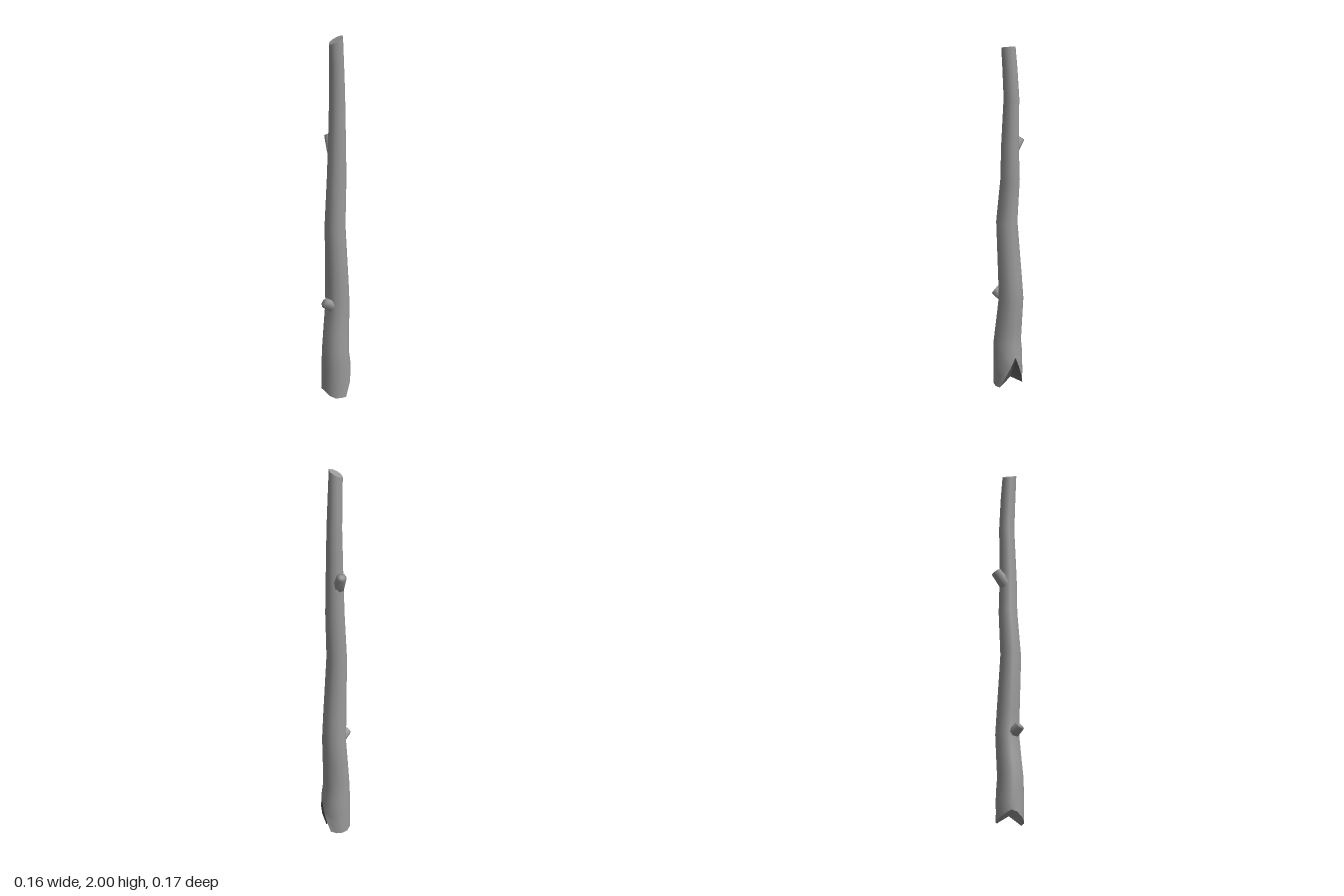
import * as THREE from 'three';
import { mergeVertices, toCreasedNormals } from 'three/addons/utils/BufferGeometryUtils.js';

const SIDES = 12;
const SPLIT_TOP = 0.18;

// Trunk outline by height: y, min x, max x, min z, max z
const RINGS = [
  [0, -0.072, 0.078, -0.064, 0.086],
  [0.07, -0.073, 0.08, -0.064, 0.086],
  [0.12, -0.073, 0.08, -0.063, 0.086],
  [SPLIT_TOP, -0.072, 0.08, -0.062, 0.086],
  [0.25, -0.07, 0.07, -0.058, 0.084],
  [0.36, -0.06, 0.074, -0.061, 0.075],
  [0.5, -0.047, 0.08, -0.064, 0.065],
  [0.62, -0.05, 0.074, -0.058, 0.065],
  [0.95, -0.057, 0.052, -0.041, 0.07],
  [1.2, -0.041, 0.063, -0.047, 0.053],
  [1.4, -0.035, 0.06, -0.041, 0.05],
  [1.68, -0.026, 0.058, -0.043, 0.038],
  [1.85, -0.03, 0.05, -0.036, 0.042],
  [2, -0.033, 0.042, -0.028, 0.046],
];

function trunkPoint([h, x0, x1, z0, z1], row, i) {
  // Columns 1 and 11 follow the two lips of the split, column 0 its valley
  const open = 1 - h / SPLIT_TOP;
  const front = open > 0 ? 1.15 * open : Math.PI / 6;
  const back = open > 0 ? 0.9 * open : Math.PI / 6;
  const a = i === 0 ? 0 : front + ((i - 1) / (SIDES - 2)) * (Math.PI * 2 - front - back);
  let x = (x0 + x1) / 2 + ((x1 - x0) / 2) * Math.cos(a);
  const z = (z0 + z1) / 2 + ((z1 - z0) / 2) * Math.sin(a);
  let y = h;
  // Chopped base, raised along the middle
  if (row === 0) y = 0.045 * Math.max(0, 1 - Math.abs(z - 0.011) / 0.07);
  // Slanted break at the top
  if (row === RINGS.length - 1) y = Math.min(2, 1.98 + 0.5 * (x - 0.005) + 0.2 * (z - 0.01));
  if (i === 0 && open > 0) x = 0.025 + 0.05 * (y - 0.04) / 0.14;
  return [x, y, z];
}

// Geometries of the outer trunk and of the faces inside the split
function trunkGeometries() {
  const position = [];
  const bark = [];
  const split = [];
  RINGS.forEach((ring, row) => {
    for (let i = 0; i < SIDES; i++) position.push(...trunkPoint(ring, row, i));
  });
  const last = (RINGS.length - 1) * SIDES;
  const bottom = RINGS.length * SIDES;
  position.push(0, 0.043, 0.011, 0.004, 1.978, 0.01);
  for (let i = 0; i < SIDES; i++) {
    const n = (i + 1) % SIDES;
    for (let row = 0; row < RINGS.length - 1; row++) {
      const r = row * SIDES;
      const [a, b, c, d] = [r + i, r + SIDES + i, r + SIDES + n, r + n];
      const inSplit = i === 0 || n === 0;
      const lower = inSplit && row < 3 ? split : bark;
      const upper = inSplit && row < 2 ? split : bark;
      // The diagonals beside the valley meet at the tip of the split
      if (i === 0) {
        lower.push(a, b, d);
        upper.push(b, c, d);
      } else {
        lower.push(a, c, d);
        upper.push(a, b, c);
      }
    }
    bark.push(bottom, i, n, bottom + 1, last + n, last + i);
  }
  return [bark, split].map((index) => {
    const g = new THREE.BufferGeometry();
    g.setAttribute('position', new THREE.Float32BufferAttribute(position, 3));
    g.setIndex(index);
    return toCreasedNormals(g, 0.8);
  });
}

// Short worn branch running from inside the trunk to its softly shaded end
function stub(name, from, to, baseRadius, endRadius, material) {
  const a = new THREE.Vector3(...from);
  const b = new THREE.Vector3(...to);
  const axis = b.clone().sub(a);
  const cylinder = new THREE.CylinderGeometry(endRadius, baseRadius, axis.length(), 8);
  cylinder.deleteAttribute('normal');
  cylinder.deleteAttribute('uv');
  const geometry = mergeVertices(cylinder);
  geometry.computeVertexNormals();
  const mesh = new THREE.Mesh(geometry, material);
  mesh.name = name;
  mesh.position.copy(a).add(b).multiplyScalar(0.5);
  mesh.quaternion.setFromUnitVectors(new THREE.Vector3(0, 1, 0), axis.normalize());
  return mesh;
}

export function createModel() {
  const group = new THREE.Group();
  group.name = 'woodenPole';
  const wood = new THREE.MeshStandardMaterial({ color: 0x9a9a9a });
  const darkWood = new THREE.MeshStandardMaterial({ color: 0x5c5c5c });

  const [barkGeometry, splitGeometry] = trunkGeometries();
  const trunk = new THREE.Mesh(barkGeometry, wood);
  trunk.name = 'trunk';
  const split = new THREE.Mesh(splitGeometry, darkWood);
  split.name = 'baseSplit';
  group.add(trunk, split);

  group.add(stub('lowerBranchStub', [-0.01, 0.488, 0.012], [-0.066, 0.526, 0.047], 0.032, 0.028, wood));
  group.add(stub('upperBranchStub', [-0.002, 1.35, -0.008], [-0.004, 1.423, -0.065], 0.036, 0.028, wood));
  return group;
}
